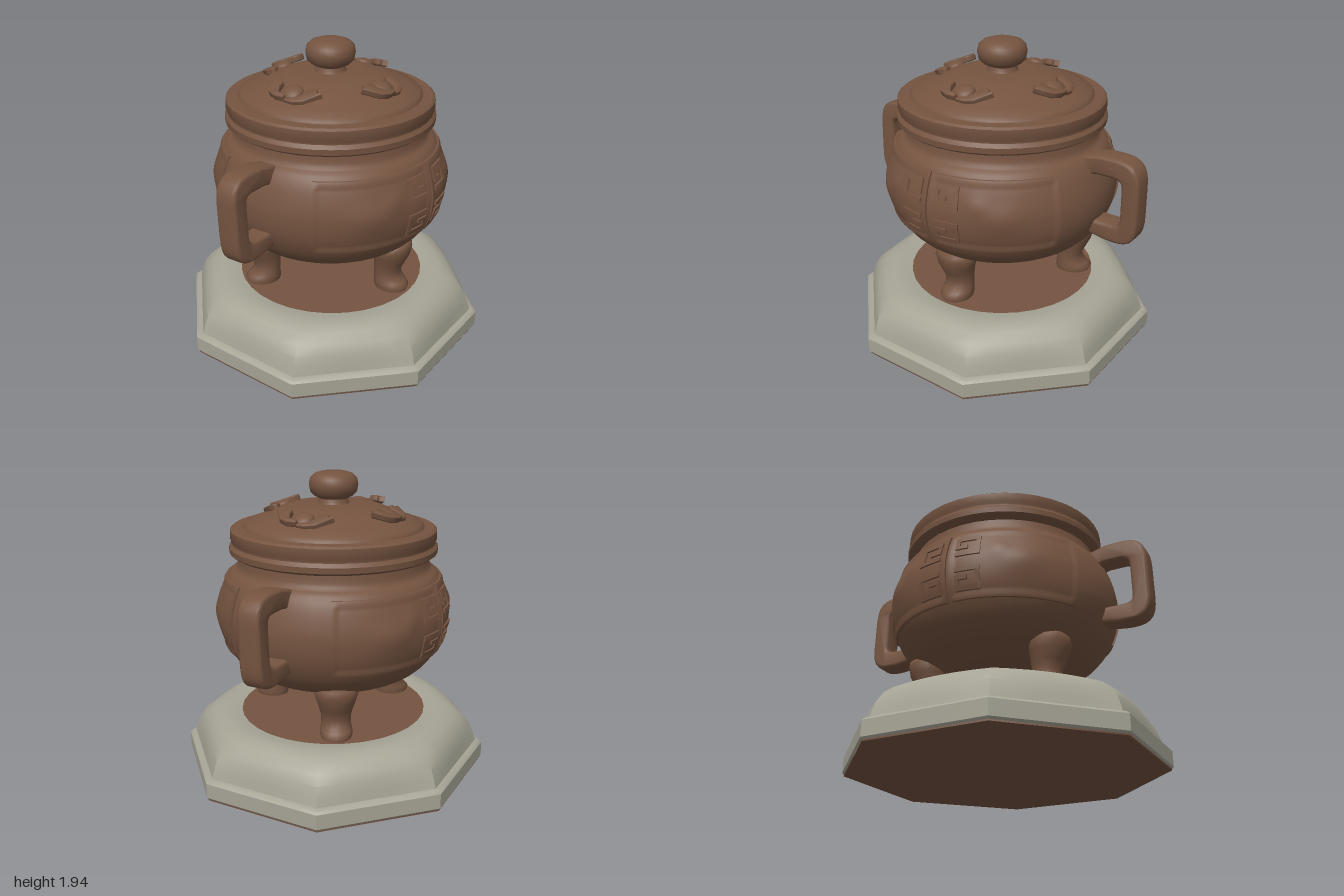
import * as THREE from 'three';
import { toCreasedNormals } from 'three/addons/utils/BufferGeometryUtils.js';

const bronze = new THREE.MeshStandardMaterial({ color: 0x755440 });
bronze.name = 'brown bronze';
const stone = new THREE.MeshStandardMaterial({ color: 0xa6a495 });
stone.name = 'grey stone';

const TAU = Math.PI * 2;
const v2 = (p) => new THREE.Vector2(p[0], p[1]);

function add(parent, name, geometry, material = bronze) {
  const mesh = new THREE.Mesh(geometry, material);
  mesh.name = name;
  parent.add(mesh);
  return mesh;
}

// Skin over rows of points, listed from bottom to top
function loft(rows, closed) {
  const n = rows[0].length, index = [];
  for (let i = 0; i < rows.length - 1; i++) {
    for (let j = 0; j < (closed ? n : n - 1); j++) {
      const a = i * n + j, b = i * n + ((j + 1) % n);
      index.push(a, a + n, b, b, a + n, b + n);
    }
  }
  const g = new THREE.BufferGeometry().setFromPoints(rows.flat());
  g.setIndex(index);
  g.computeVertexNormals();
  return g;
}

const lathe = (points, sides = 40, crease = 0.6) =>
  toCreasedNormals(new THREE.LatheGeometry(points, sides), crease);

// Belly profile as a smooth curve, shared by the body and its relief
const belly = new THREE.SplineCurve([
  [0.001, 0.58], [0.22, 0.592], [0.4, 0.63], [0.54, 0.685], [0.63, 0.76], [0.69, 0.85],
  [0.728, 0.95], [0.74, 1.05], [0.732, 1.14], [0.7, 1.25], [0.66, 1.32], [0.615, 1.36], [0.602, 1.44],
].map(v2)).getPoints(48);

function bellyRadius(y) {
  const i = Math.max(1, belly.findIndex((p) => p.y >= y));
  const a = belly[i - 1], b = belly[i];
  return a.x + (b.x - a.x) * (y - a.y) / (b.y - a.y);
}

// Raised patch that follows the belly; its edge drops into the surface
function patch(a0, a1, y0, y1, nu, nv, height) {
  const rows = [];
  for (let i = -1; i <= nv + 1; i++) {
    const row = [], v = THREE.MathUtils.clamp(i / nv, 0, 1);
    for (let j = -1; j <= nu + 1; j++) {
      const u = THREE.MathUtils.clamp(j / nu, 0, 1);
      const edge = i < 0 || j < 0 || i > nv || j > nu;
      const a = a0 + (a1 - a0) * u, y = y0 + (y1 - y0) * v;
      const r = bellyRadius(y) + (edge ? -0.015 : height(u * 2 - 1, v * 2 - 1));
      row.push(new THREE.Vector3(r * Math.cos(a), y, r * Math.sin(a)));
    }
    rows.push(row);
  }
  return toCreasedNormals(loft(rows, false), 0.9);
}

// Framed field with a soft swelling in the middle
function panelHeight(u, v) {
  const frame = Math.abs(u) > 0.93 || Math.abs(v) > 0.88 ? 0.012 : 0.003;
  const bump = 0.016 * Math.exp(-(((u - 0.1) / 0.35) ** 2) - ((v / 0.4) ** 2));
  const curl = 0.01 * Math.exp(-(((u + 0.25) / 0.16) ** 2) - (((v - 0.35) / 0.25) ** 2));
  return frame + bump + curl;
}

// Square spiral bars as z0, z1, y0, y1
const fretBars = [
  [0.05, 0.19, 1.225, 1.255], [0.17, 0.2, 1.13, 1.255], [0.05, 0.2, 1.115, 1.14],
  [0.05, 0.075, 1.17, 1.255], [0.05, 0.125, 1.165, 1.19],
];

function buildRelief(parent) {
  for (const side of [0, Math.PI]) {
    for (const s of [1, -1]) {
      const span = (a, b) => (s > 0 ? [side + a, side + b] : [side - b, side - a]);
      add(parent, 'bodyPanel', patch(...span(0.012, 1.1), 0.85, 1.3, 44, 24,
        (u, v) => panelHeight(u * s, v)));
      for (const [z0, z1, y0, y1] of fretBars) {
        const range = span(Math.asin(z0 / 0.73), Math.asin(z1 / 0.73));
        add(parent, 'fretBar', patch(...range, y0, y1, 4, 1, () => 0.015));
        add(parent, 'fretBar', patch(...range, 2.15 - y1, 2.15 - y0, 4, 1, () => 0.015));
      }
    }
  }
}

// Octagonal stone base that turns round towards its top
function buildBase(parent) {
  const base = new THREE.Group();
  base.name = 'base';
  base.rotation.z = -0.008;
  const n = 48;
  const profile = [ // radius, height, octagon share
    [0.92, 0.017, 1], [0.93, 0.03, 1], [0.93, 0.125, 1], [0.915, 0.14, 1], [0.89, 0.145, 1], [0.88, 0.2, 0.9],
    [0.868, 0.26, 0.75], [0.84, 0.315, 0.6], [0.795, 0.36, 0.4], [0.735, 0.386, 0.2], [0.67, 0.386, 0], [0.61, 0.376, 0],
  ];
  const rows = profile.map(([r, y, share]) => Array.from({ length: n }, (_, j) => {
    const a = j / n * TAU, m = (a + Math.PI / 8) % (Math.PI / 4) - Math.PI / 8;
    const k = r * (1 + share * (1 / Math.cos(m) - 1));
    return new THREE.Vector3(k * Math.cos(a), y, k * Math.sin(a));
  }));
  add(base, 'stoneRing', toCreasedNormals(loft(rows, true), 0.6), stone);
  add(base, 'innerFloor', new THREE.CylinderGeometry(0.612, 0.612, 0.02, 32)).position.y = 0.367;
  const plate = add(base, 'bottomPlate', new THREE.CylinderGeometry(0.995, 0.995, 0.01, 8).rotateY(Math.PI / 8));
  plate.position.y = 0.013;
  parent.add(base);
}

// Three legs, curved in at the ankle with the foot kicked outward
function buildLegs(parent) {
  const sections = [ // height, centre, radial radius, sideways radius
    [0.37, 0.485, 0.11, 0.095], [0.4, 0.487, 0.117, 0.102], [0.425, 0.478, 0.105, 0.099], [0.45, 0.463, 0.09, 0.094],
    [0.5, 0.458, 0.085, 0.092], [0.56, 0.47, 0.1, 0.105], [0.62, 0.485, 0.115, 0.122], [0.67, 0.49, 0.12, 0.137],
    [0.705, 0.495, 0.115, 0.12], [0.725, 0.5, 0.09, 0.08], [0.732, 0.5, 0.002, 0.002],
  ];
  const geometry = loft(sections.map(([y, c, rr, rs]) => Array.from({ length: 20 }, (_, j) => {
    const a = j / 20 * TAU;
    return new THREE.Vector3(c + rr * Math.cos(a), y, rs * Math.sin(a));
  })), true);
  for (let k = 0; k < 3; k++) add(parent, 'leg', geometry).rotation.y = k * TAU / 3;
}

// Squared loop handles on the front and back
function buildHandles(parent) {
  const shape = new THREE.Shape();
  shape.moveTo(0.54, 0.92);
  shape.lineTo(0.7, 0.865);
  shape.lineTo(0.8, 0.85);
  shape.bezierCurveTo(0.94, 0.84, 0.98, 0.86, 0.98, 1.0);
  shape.lineTo(0.98, 1.2);
  shape.bezierCurveTo(0.98, 1.33, 0.94, 1.355, 0.82, 1.355);
  shape.lineTo(0.74, 1.352);
  shape.lineTo(0.54, 1.3);
  const hole = new THREE.Path();
  hole.moveTo(0.58, 0.97);
  hole.lineTo(0.58, 1.23);
  hole.lineTo(0.72, 1.27);
  hole.lineTo(0.82, 1.27);
  hole.bezierCurveTo(0.89, 1.27, 0.91, 1.25, 0.91, 1.18);
  hole.lineTo(0.91, 1.0);
  hole.bezierCurveTo(0.91, 0.94, 0.88, 0.925, 0.82, 0.925);
  hole.lineTo(0.72, 0.925);
  shape.holes.push(hole);
  const raw = new THREE.ExtrudeGeometry(shape, {
    depth: 0.1, bevelThickness: 0.022, bevelSize: 0.02, bevelSegments: 3, curveSegments: 8,
  }).translate(0, 0, -0.05).rotateY(-Math.PI / 2);
  const geometry = toCreasedNormals(raw, 0.8);
  for (const k of [0, 1]) {
    const pivot = new THREE.Group();
    pivot.name = 'handlePivot';
    pivot.rotation.y = k * Math.PI;
    const handle = add(pivot, 'handle', geometry);
    handle.rotation.z = 0.03;
    handle.position.x = 0.04;
    parent.add(pivot);
  }
}

// Lotus ornaments: a round bud between two pairs of spread petals
function buildLotus(parent) {
  const petal = new THREE.Shape([[0.005, -0.085], [0.06, -0.088], [0.115, -0.065], [0.15, -0.02], [0.183, 0.025],
    [0.15, 0.03], [0.142, 0.048], [0.115, 0.05], [0.09, 0.03], [0.087, -0.01], [0.06, -0.055], [0.005, -0.07]].map(v2));
  const petalGeometry = toCreasedNormals(new THREE.ExtrudeGeometry(petal, {
    depth: 0.02, bevelThickness: 0.01, bevelSize: 0.006, bevelSegments: 2,
  }).translate(0, 0, -0.01), 0.8);
  const mirrored = petalGeometry.clone().rotateY(Math.PI).translate(0, 0, 0.02);
  const bud = new THREE.SphereGeometry(0.065, 20, 12).scale(1, 1, 0.5);
  for (let k = 0; k < 4; k++) {
    const pivot = new THREE.Group(), lotus = new THREE.Group();
    pivot.name = 'lotusPivot';
    lotus.name = 'lotus';
    pivot.rotation.y = k * Math.PI / 2;
    lotus.position.set(0, 1.697, 0.375);
    lotus.rotation.x = -Math.PI / 2 + 0.37;
    add(lotus, 'leftPetals', petalGeometry);
    add(lotus, 'rightPetals', mirrored);
    add(lotus, 'bud', bud);
    pivot.add(lotus);
    parent.add(pivot);
  }
}

export function createModel() {
  const model = new THREE.Group();
  model.name = 'lidded tripod censer';
  buildBase(model);
  buildLegs(model);
  add(model, 'body', lathe(belly));
  buildRelief(model);
  buildHandles(model);
  // Grooved collar
  add(model, 'rim', lathe([[0.59, 1.425], [0.64, 1.436], [0.658, 1.45], [0.66, 1.485], [0.643, 1.507], [0.643, 1.52],
    [0.652, 1.535], [0.65, 1.59], [0.635, 1.602], [0.5, 1.605]].map(v2)));
  // Lid with sloping top
  add(model, 'lid', lathe([[0.575, 1.595], [0.57, 1.612], [0.553, 1.63], [0.48, 1.655], [0.4, 1.688], [0.27, 1.738],
    [0.2, 1.742], [0.001, 1.745]].map(v2)));
  // Knob on a short stem
  add(model, 'knob', lathe([[0.105, 1.735], [0.096, 1.75], [0.09, 1.775], [0.12, 1.79], [0.146, 1.815], [0.154, 1.86],
    [0.146, 1.9], [0.12, 1.925], [0.08, 1.938], [0.001, 1.942]].map(v2), 28, 0.9));
  buildLotus(model);
  return model;
}
